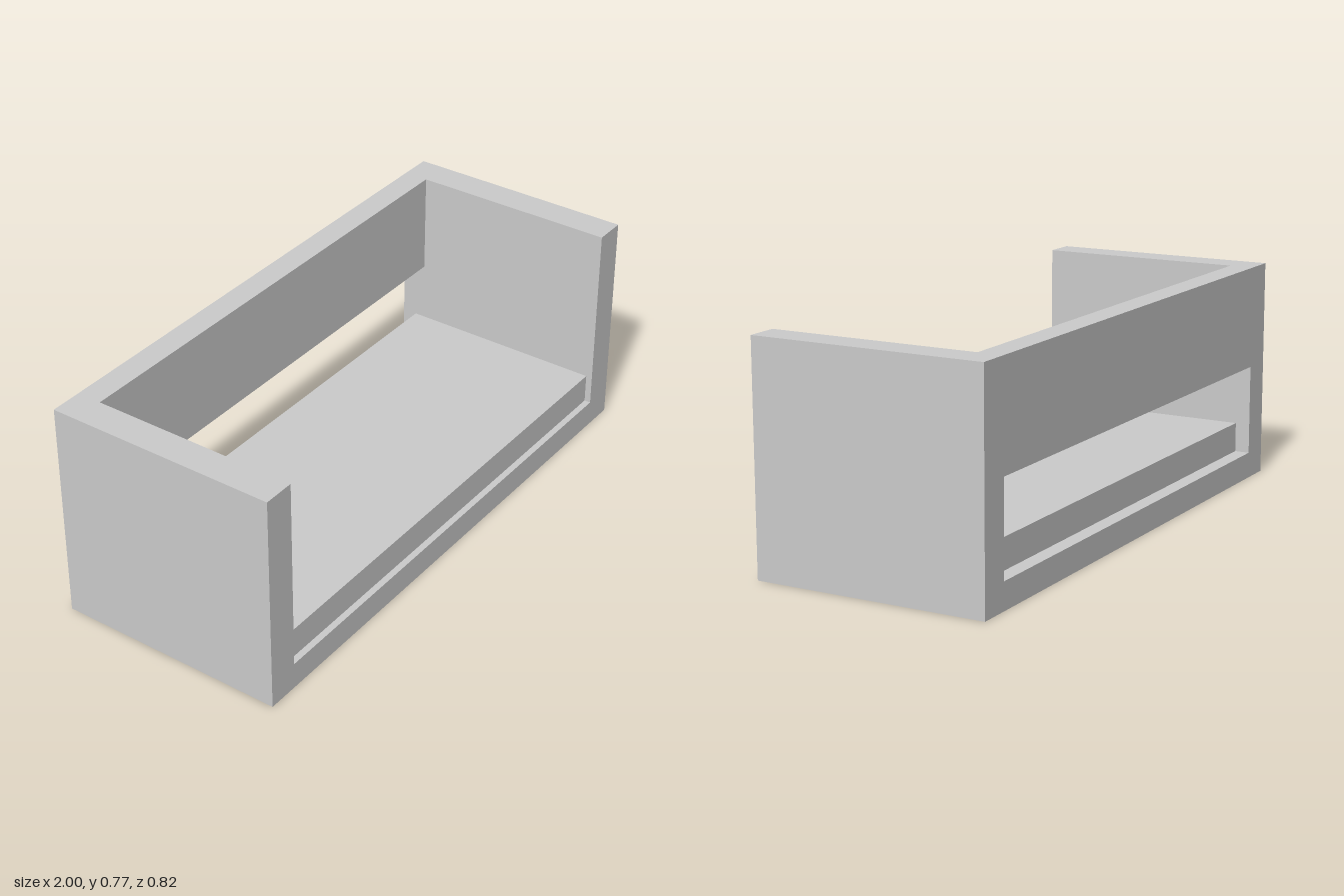
import * as THREE from 'three';

export function createModel() {
  const model = new THREE.Group();
  const grey = new THREE.MeshStandardMaterial({ color: 0xcccccc });
  grey.name = 'light grey';

  const height = 0.774, back = -0.408, front = 0.408;
  const inner = 0.888, floor = 0.093;

  // Box given by its limits on each axis
  function addBox(name, [x0, x1], [y0, y1], [z0, z1]) {
    const mesh = new THREE.Mesh(new THREE.BoxGeometry(x1 - x0, y1 - y0, z1 - z0), grey);
    mesh.position.set((x0 + x1) / 2, (y0 + y1) / 2, (z0 + z1) / 2);
    mesh.name = name;
    model.add(mesh);
  }

  // U-shaped frame: base and both arms in one piece
  const outline = new THREE.Shape([
    [-1, 0], [1, 0], [1, height], [inner, height],
    [inner, floor], [-inner, floor], [-inner, height], [-1, height],
  ].map(([x, y]) => new THREE.Vector2(x, y)));
  const frame = new THREE.Mesh(
    new THREE.ExtrudeGeometry(outline, { depth: front - back, bevelEnabled: false }), grey);
  frame.position.z = back;
  frame.name = 'frame';
  model.add(frame);

  // Backrest between the arms, open below
  addBox('backrest', [-inner, inner], [0.412, height], [back, -0.321]);

  // Seat cushion, set in from the front and back edges of the base
  addBox('seatCushion', [-inner, inner], [floor, 0.198], [-0.355, 0.385]);

  return model;
}
